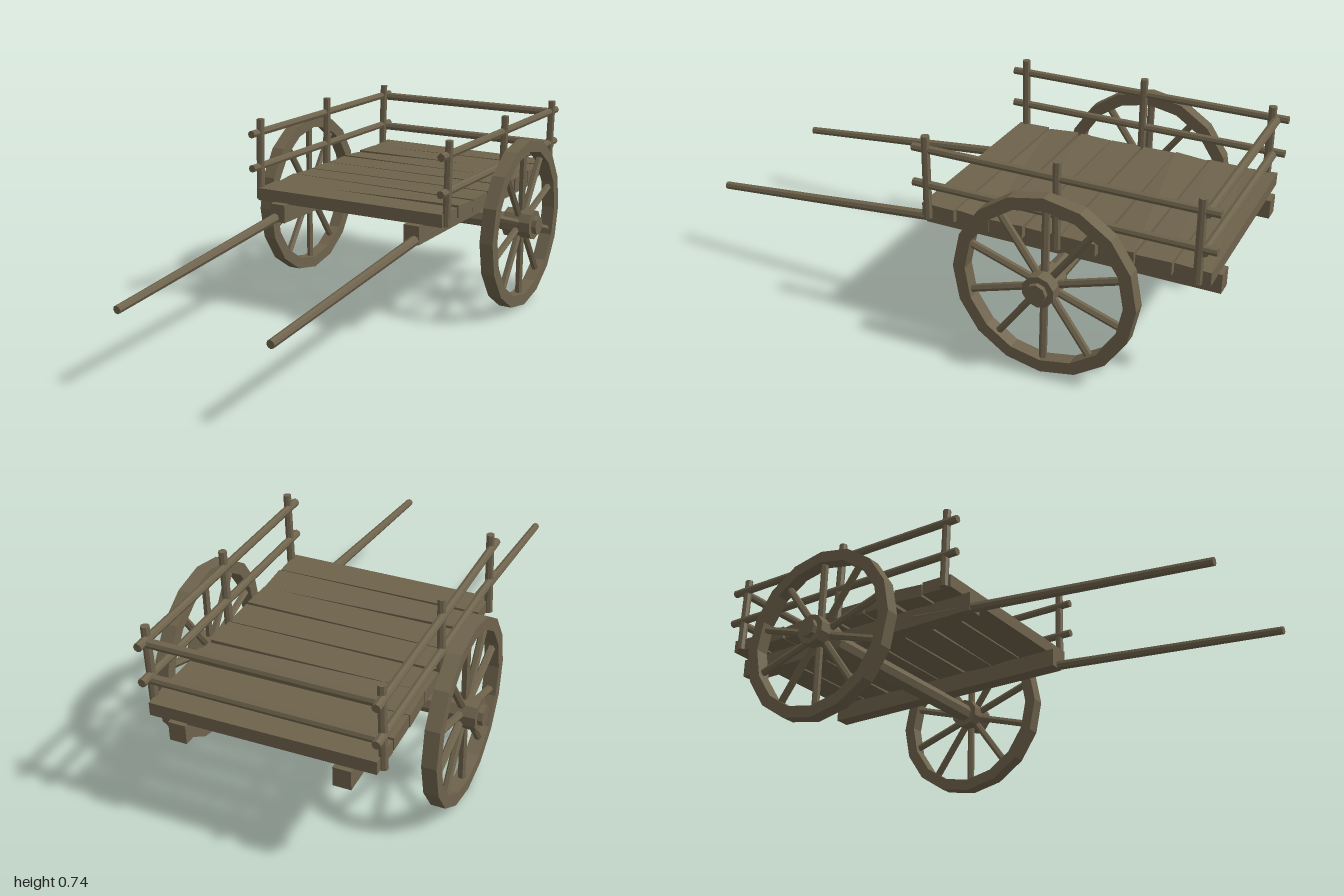
import * as THREE from 'three';

const wood = new THREE.MeshStandardMaterial({ color: 0x6e634c, flatShading: true });
wood.name = 'weathered wood';

const AXLE_Y = 0.332, AXLE_Z = -0.453;

function add(parent, name, geometry, x = 0, y = 0, z = 0) {
  const mesh = new THREE.Mesh(geometry, wood);
  mesh.name = name;
  mesh.position.set(x, y, z);
  parent.add(mesh);
  return mesh;
}

// Straight round pole between two points, with optional taper
function pole(parent, name, from, to, r0, r1 = r0, sides = 8) {
  const a = new THREE.Vector3(...from), b = new THREE.Vector3(...to);
  const dir = b.clone().sub(a);
  const mesh = add(parent, name, new THREE.CylinderGeometry(r1, r0, dir.length(), sides));
  mesh.position.copy(a).add(b).multiplyScalar(0.5);
  mesh.quaternion.setFromUnitVectors(new THREE.Vector3(0, 1, 0), dir.normalize());
  return mesh;
}

function polygon(radius, sides) {
  return Array.from({ length: sides }, (_, i) => {
    const a = Math.PI / 2 + i * 2 * Math.PI / sides;
    return new THREE.Vector2(radius * Math.cos(a), radius * Math.sin(a));
  });
}

// Spoked wheel lying in the x-y plane, turned to face sideways
function makeWheel(name) {
  const wheel = new THREE.Group();
  wheel.name = name;
  const outline = new THREE.Shape(polygon(0.33, 16));
  outline.holes.push(new THREE.Path(polygon(0.285, 16)));
  const rim = new THREE.ExtrudeGeometry(outline, { depth: 0.052, bevelEnabled: false });
  add(wheel, 'rim', rim, 0, 0, -0.026);
  for (let i = 0; i < 10; i++) {
    const a = Math.PI / 2 + i * Math.PI / 5, c = Math.cos(a), s = Math.sin(a);
    pole(wheel, 'spoke', [0.03 * c, 0.03 * s, 0], [0.295 * c, 0.295 * s, 0], 0.014, 0.014, 6);
  }
  const hub = new THREE.CylinderGeometry(0.058, 0.058, 0.112, 10).rotateX(Math.PI / 2);
  add(wheel, 'hub', hub);
  wheel.rotation.y = Math.PI / 2;
  return wheel;
}

// Rough plank: the end corners are lifted or lowered a little
function plankGeometry(depth, twist, inset) {
  const g = new THREE.BoxGeometry(0.79, 0.048, depth);
  const p = g.attributes.position;
  for (let i = 0; i < p.count; i++) {
    const sx = Math.sign(p.getX(i)), sz = Math.sign(p.getZ(i));
    p.setY(i, p.getY(i) + twist * sx * sz);
    p.setZ(i, p.getZ(i) - inset * sx);
  }
  return g;
}

export function createModel() {
  const cart = new THREE.Group();
  cart.name = 'handCart';

  // Deck
  const deck = new THREE.Group();
  deck.name = 'deck';
  cart.add(deck);
  const twists = [0.003, -0.001, -0.005, 0.001, 0.001, -0.002, 0.005, 0.001];
  const insets = [0.001, 0.001, 0.003, 0, 0.002, -0.002, 0.003, -0.001];
  for (let i = 0; i < 8; i++) {
    add(deck, 'plank', plankGeometry(0.123, twists[i], insets[i]), 0, 0.448, -0.92 + i * 0.131);
  }

  // Axle and wheels
  pole(cart, 'axle', [-0.56, AXLE_Y, AXLE_Z], [0.56, AXLE_Y, AXLE_Z], 0.036, 0.036, 8);
  for (const side of [-1, 1]) {
    const wheel = makeWheel(side < 0 ? 'rightWheel' : 'leftWheel');
    wheel.position.set(side * 0.486, AXLE_Y, AXLE_Z);
    cart.add(wheel);
  }

  // Beams, pulling shafts, posts and side rails
  const posts = [[0.033, 0.738], [-0.453, 0.746], [-0.94, 0.73]];
  for (const side of [-1, 1]) {
    add(cart, 'beam', new THREE.BoxGeometry(0.062, 0.07, 1.085), side * 0.287, 0.391, -0.4555);
    pole(cart, 'shaft', [side * 0.3, 0.394, -0.16], [side * 0.297, 0.284, 0.999], 0.02, 0.015, 8);
    for (const [z, top] of posts) {
      pole(cart, 'post', [side * 0.4, 0.425, z], [side < 0 ? -0.393 : 0.406, top, z + 0.002], 0.016, 0.015, 8);
    }
    for (const y of [0.685, 0.552]) {
      pole(cart, 'sideRail', [side * 0.4, y, 0.088], [side * 0.4, y, -0.998], 0.015, 0.015, 8);
    }
  }

  // Back rails
  for (const y of [0.68, 0.544]) {
    pole(cart, 'backRail', [-0.405, y, -0.955], [0.41, y, -0.955], 0.0165, 0.0165, 8);
  }
  return cart;
}
